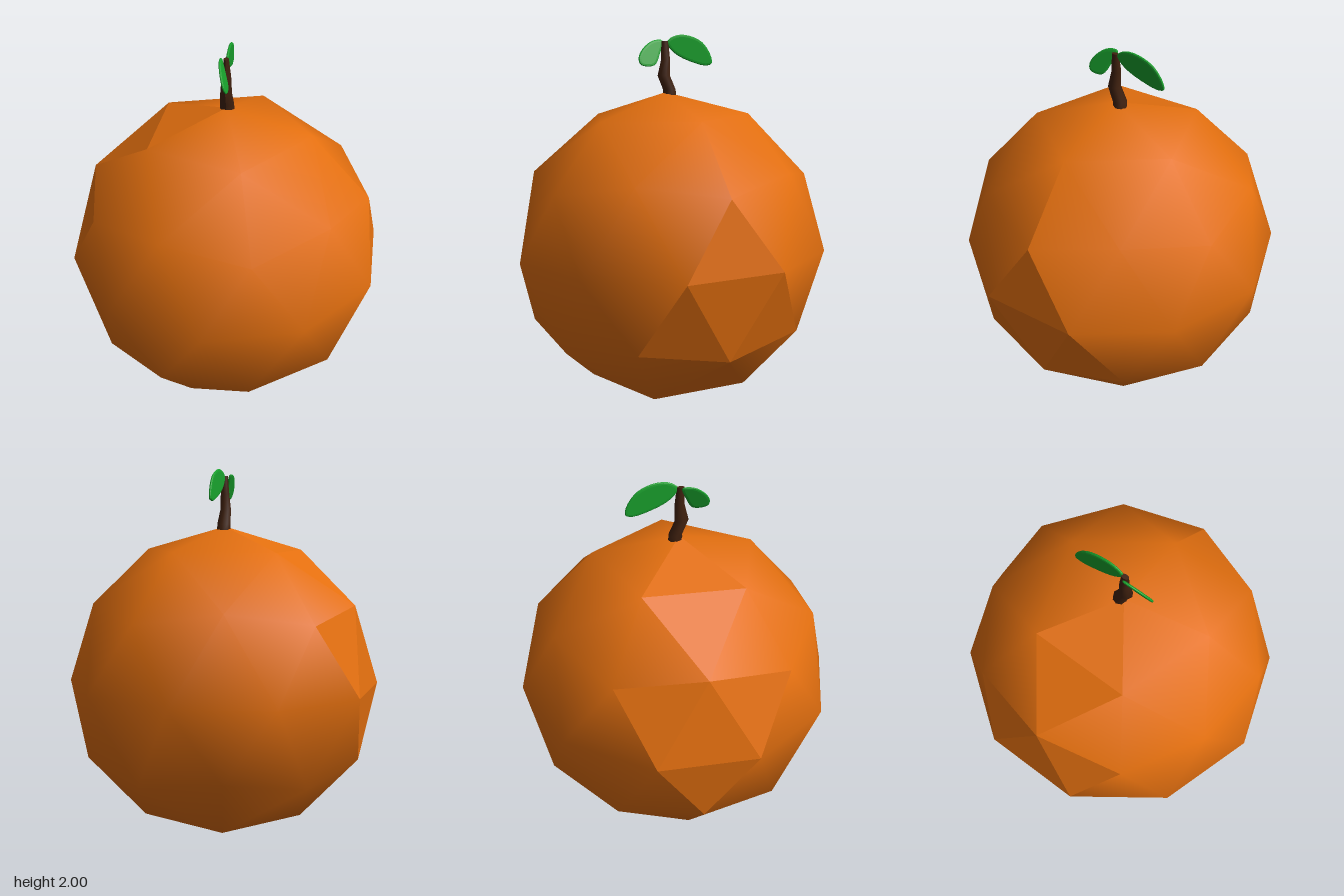
import * as THREE from 'three';

const R = 0.847;

// Faceted sphere: a subdivided icosahedron standing on a corner. Front and back
// halves are smooth; the strip of faces between them on each side is flat.
function fruitGeometry() {
  const geo = new THREE.IcosahedronGeometry(R, 1);
  geo.rotateZ(-Math.atan(2 / (1 + Math.sqrt(5))));
  const pos = geo.attributes.position, nor = geo.attributes.normal;
  const corner = (i) => new THREE.Vector3().fromBufferAttribute(pos, i);
  const sums = new Map(), faces = [];
  const keyOf = (p, group) => [p.x, p.y, p.z].map((v) => Math.round(v * 1000)).join() + group;

  for (let i = 0; i < pos.count; i += 3) {
    const p = [corner(i), corner(i + 1), corner(i + 2)];
    const mid = p[0].clone().add(p[1]).add(p[2]).divideScalar(3);
    const normal = p[1].clone().sub(p[0]).cross(p[2].clone().sub(p[0])).normalize();
    const lowSide = Math.abs(mid.z) < 0.25 && Math.abs(mid.x) > 0.6 && mid.x * mid.y < 0;
    const flat = Math.abs(mid.z) < 0.02 || lowSide;
    const group = mid.z > 0 ? 'front' : 'back';
    faces.push({ p, normal, flat, group });
    if (flat) continue;
    for (const q of p) {
      const key = keyOf(q, group);
      if (!sums.has(key)) sums.set(key, new THREE.Vector3());
      sums.get(key).add(normal);
    }
  }
  faces.forEach(({ p, normal, flat, group }, f) => p.forEach((q, j) => {
    let n = normal;
    if (!flat) n = (Math.abs(q.x) < 0.6 ? q : sums.get(keyOf(q, group))).clone().normalize();
    nor.setXYZ(f * 3 + j, n.x, n.y, n.z);
  }));
  return geo;
}

// Bent, tapering stalk lofted through rings of [y, z, half width, half depth]
function stemGeometry() {
  const rings = [
    [1.66, 0.0, 0.038, 0.038], [1.71, 0.0, 0.037, 0.036], [1.785, 0.033, 0.03, 0.036],
    [1.87, 0.022, 0.024, 0.026], [1.965, 0.027, 0.013, 0.02],
  ];
  const sides = 8;
  const geo = new THREE.CylinderGeometry(1, 1, 1, sides, rings.length - 1);
  const pos = geo.attributes.position;
  for (let i = 0; i < pos.count; i++) {
    const level = Math.round((pos.getY(i) + 0.5) * (rings.length - 1));
    const [y, z, w, d] = rings[level];
    pos.setXYZ(i, pos.getX(i) * w, y, z + pos.getZ(i) * d);
  }
  geo.computeVertexNormals();
  return geo;
}

// Thin blade from an outline of [z, y] points, leaning sideways with height
function leafGeometry(outline, lean, baseY) {
  const curve = new THREE.CatmullRomCurve3(
    outline.map(([z, y]) => new THREE.Vector3(-z, y, 0)), true);
  const shape = new THREE.Shape(curve.getPoints(28).slice(0, -1).map((p) => new THREE.Vector2(p.x, p.y)));
  const geo = new THREE.ExtrudeGeometry(shape, {
    depth: 0.004, bevelEnabled: true, bevelThickness: 0.005,
    bevelSize: 0.012, bevelOffset: -0.012, bevelSegments: 2,
  });
  geo.translate(0, 0, -0.002);
  geo.rotateY(Math.PI / 2);
  const pos = geo.attributes.position;
  for (let i = 0; i < pos.count; i++) {
    pos.setX(i, pos.getX(i) + (baseY - pos.getY(i)) * lean);
  }
  geo.computeVertexNormals();
  return geo;
}

export function createModel() {
  const model = new THREE.Group();
  model.name = 'orangeFruit';
  const add = (name, geometry, color) => {
    const mesh = new THREE.Mesh(geometry, new THREE.MeshStandardMaterial({ color }));
    mesh.name = name;
    model.add(mesh);
    return mesh;
  };

  // Fruit body, tipped very slightly
  const fruit = add('fruit', fruitGeometry(), 0xe36f0f);
  fruit.position.y = R + 0.003;
  fruit.rotation.set(0.025, -0.022, 0);

  add('stem', stemGeometry(), 0x40210f);

  // Long leaf to the back, short one to the front
  add('backLeaf', leafGeometry([
    [0.015, 1.96], [-0.01, 1.985], [-0.06, 1.999], [-0.13, 1.99], [-0.2, 1.955], [-0.25, 1.885],
    [-0.255, 1.845], [-0.22, 1.835], [-0.15, 1.85], [-0.05, 1.89], [0, 1.93],
  ], -0.06, 1.92), 0x18a02c);
  add('frontLeaf', leafGeometry([
    [0.03, 1.968], [0.085, 1.968], [0.15, 1.925], [0.18, 1.875],
    [0.17, 1.842], [0.095, 1.84], [0.055, 1.9],
  ], 0.33, 1.89), 0x18a02c);

  return model;
}
